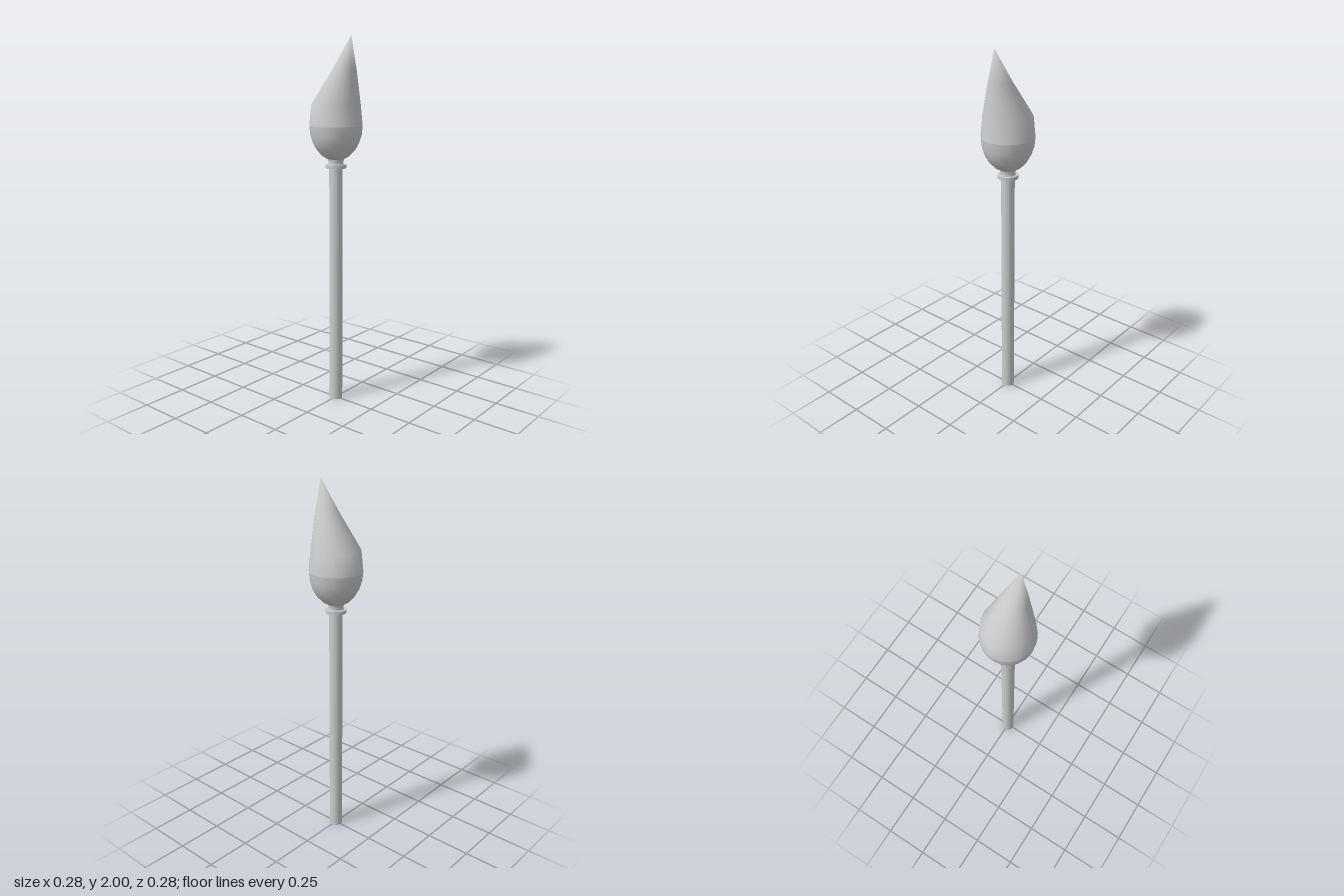
import * as THREE from 'three';
import { mergeVertices } from 'three/addons/utils/BufferGeometryUtils.js';

const SIDES = 20;
const material = new THREE.MeshStandardMaterial({ color: 0xcccccc });

function addPart(group, name, geometry) {
  const mesh = new THREE.Mesh(geometry, material);
  mesh.name = name;
  group.add(mesh);
}

// Upright cylinder between two heights
function rod(radius, bottom, top) {
  return new THREE.CylinderGeometry(radius, radius, top - bottom, SIDES)
    .translate(0, (bottom + top) / 2, 0);
}

// Smooth turned shape from [radius, height] pairs
function turned(profile) {
  return new THREE.LatheGeometry(profile.map(([r, y]) => new THREE.Vector2(r, y)), SIDES);
}

// Sideways lean of the tip by height
function lean(y) {
  if (y < 1.65) return 0;
  return y < 1.83 ? (y - 1.65) / 0.18 * 0.057 : 0.057 + (y - 1.83) / 0.17 * 0.043;
}

export function createModel() {
  const group = new THREE.Group();
  group.name = 'torch';

  // Handle, with a collar and a waisted neck under the head
  addPart(group, 'handle', rod(0.036, 0, 1.35));
  addPart(group, 'collar', rod(0.055, 1.315, 1.335));
  addPart(group, 'neck', turned([[0.042, 1.335], [0.038, 1.346], [0.043, 1.358], [0.043, 1.37]]));

  // Rounded lower half of the head
  const bowl = [];
  for (let i = 0; i <= 6; i++) {
    const a = i / 6 * Math.PI / 2;
    bowl.push([0.141 * Math.sin(a), 1.54 - 0.187 * Math.cos(a)]);
  }
  addPart(group, 'headBase', turned(bowl));

  // Pointed upper half, each ring shifted towards the leaning tip
  const tip = turned([[0.141, 1.54], [0.13, 1.65], [0.062, 1.83], [0, 2]]);
  const pos = tip.attributes.position;
  for (let i = 0; i < pos.count; i++) pos.setX(i, pos.getX(i) + lean(pos.getY(i)));
  tip.deleteAttribute('normal');
  tip.deleteAttribute('uv');
  const smoothTip = mergeVertices(tip, 1e-4);
  smoothTip.computeVertexNormals();
  addPart(group, 'headTip', smoothTip);

  return group;
}
